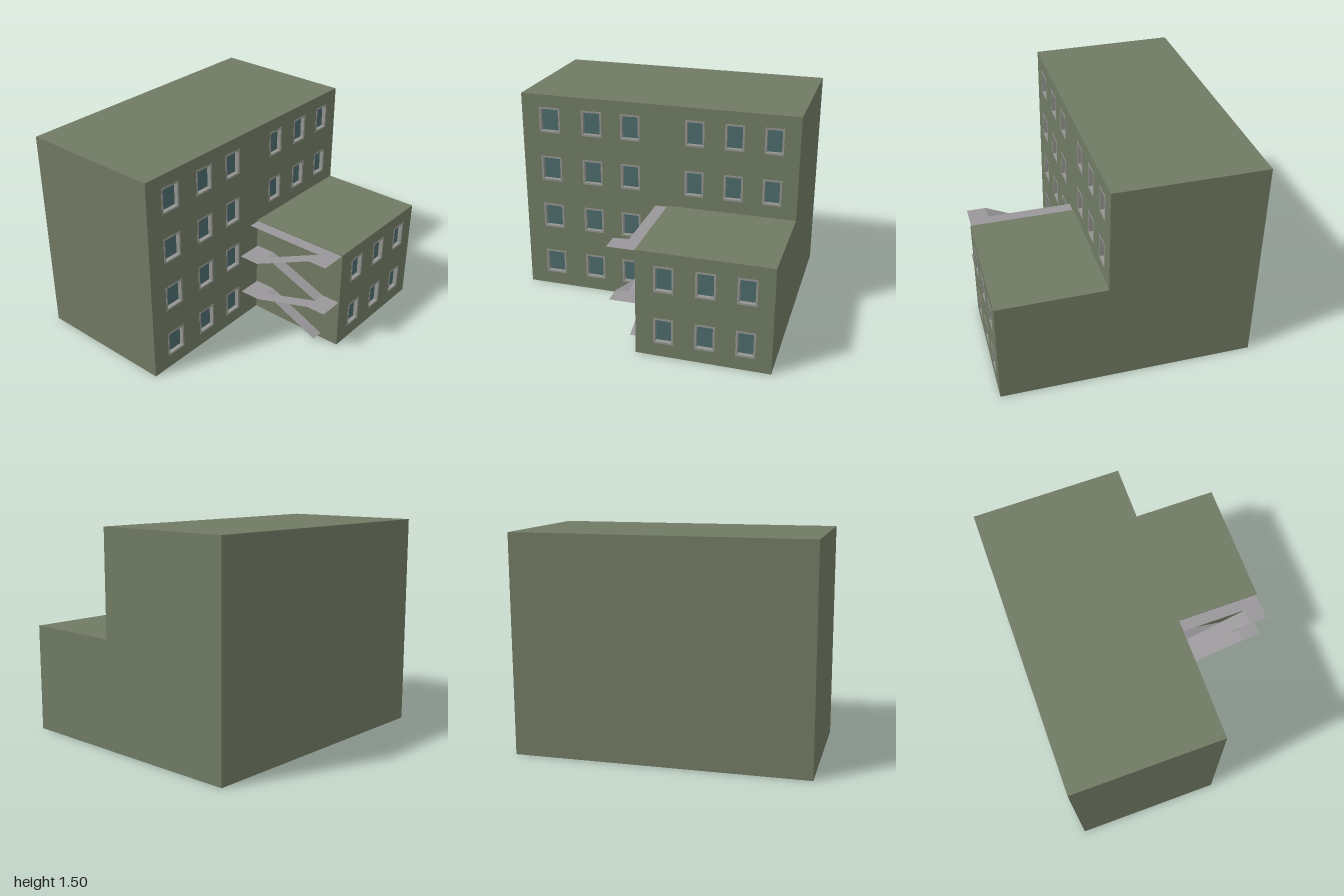
import * as THREE from 'three';

const material = (color) => new THREE.MeshStandardMaterial({ color, side: THREE.DoubleSide });
const wallMat = material(0x707a63);
const frameMat = material(0x93938f);
const glassMat = material(0x4c696b);
const stairMat = material(0x999699);

// Main block and wing extents
const H = 1.495, WING_H = 0.758, BACK = -0.885, MID = 0.143, FRONT = 0.885, WING_X = 0.087;

// Window grid: [centre, size]
const leftColumns = [[-0.79, 0.157], [-0.474, 0.15], [-0.188, 0.143]];
const rightColumns = [[0.278, 0.135], [0.556, 0.135], [0.826, 0.13]];
const rows = [0.19, 0.57, 0.943, 1.31];
const WIN_H = 0.188, BORDER = 0.013, DEPTH = 0.035;

function rectPath(PathType, x0, y0, x1, y1) {
  return new PathType([[x0, y0], [x1, y0], [x1, y1], [x0, y1]].map(([x, y]) => new THREE.Vector2(x, y)));
}

function polygon(points) {
  return new THREE.Shape(points.map(([x, y]) => new THREE.Vector2(x, y)));
}

function add(parent, name, geometry, mat) {
  const mesh = new THREE.Mesh(geometry, mat);
  mesh.name = name;
  parent.add(mesh);
  return mesh;
}

// Four-cornered flat sheet
function sheet(corners) {
  const g = new THREE.BufferGeometry();
  g.setAttribute('position', new THREE.Float32BufferAttribute(corners.flat(), 3));
  g.setIndex([0, 1, 2, 0, 2, 3]);
  g.computeVertexNormals();
  return g;
}

// Frame running inwards from the facade, with a recessed pane
function createWindow(x, y, z, w) {
  const group = new THREE.Group();
  group.name = 'window';
  const a = w / 2, b = WIN_H / 2;
  const ring = rectPath(THREE.Shape, -a, -b, a, b);
  ring.holes.push(rectPath(THREE.Path, -a + BORDER, -b + BORDER, a - BORDER, b - BORDER));
  const frame = new THREE.ExtrudeGeometry(ring, { depth: DEPTH, bevelEnabled: false });
  add(group, 'windowFrame', frame, frameMat).position.z = -DEPTH + 0.002;
  const pane = new THREE.PlaneGeometry(w - 2 * BORDER, WIN_H - 2 * BORDER);
  add(group, 'windowPane', pane, glassMat).position.z = -DEPTH + 0.007;
  group.position.set(x, y, z);
  return group;
}

// Wall with an opening and a window at every listed place
function createFacade(name, outline, z, windows) {
  const group = new THREE.Group();
  group.name = name;
  const shape = polygon(outline);
  for (const [x, y, w] of windows) {
    shape.holes.push(rectPath(THREE.Path, x - w / 2, y - WIN_H / 2, x + w / 2, y + WIN_H / 2));
    group.add(createWindow(x, y, z, w));
  }
  add(group, name + 'Wall', new THREE.ShapeGeometry(shape), wallMat).position.z = z;
  return group;
}

const grid = (columns, heights) => columns.flatMap(([x, w]) => heights.map((y) => [x, y, w]));

// Strip following a profile of [z, y] points between two x values
function strip(parent, name, x0, x1, profile) {
  for (let i = 0; i < profile.length - 1; i++) {
    const [z0, y0] = profile[i], [z1, y1] = profile[i + 1];
    add(parent, name, sheet([[x0, y0, z0], [x1, y0, z0], [x1, y1, z1], [x0, y1, z1]]), stairMat);
  }
}

function createStairs() {
  const stairs = new THREE.Group();
  stairs.name = 'outsideStairs';
  const back = 0.15, low = 0.30, high = 0.745, front = 0.88;
  const levels = [0.035, 0.23, 0.368, 0.543, 0.752];
  // Flights climbing to the back, beside the wing
  strip(stairs, 'innerFlight', 0, WING_X, [[high, levels[0]], [low, levels[1]]]);
  strip(stairs, 'innerFlight', 0, WING_X, [[high, levels[2]], [low, levels[3]]]);
  // Flights climbing to the front, on the outside
  strip(stairs, 'outerFlight', -0.095, 0, [[low, levels[1]], [high, levels[2]]]);
  strip(stairs, 'outerFlight', -0.108, 0, [[low, levels[3]], [high, levels[4]]]);
  // Landings at both ends
  strip(stairs, 'backLanding', -0.095, WING_X, [[low, levels[1]], [back, levels[1]]]);
  strip(stairs, 'backLanding', -0.108, WING_X, [[low, levels[3]], [back, levels[3]]]);
  strip(stairs, 'frontLanding', -0.095, WING_X, [[front, levels[2]], [high, levels[2]]]);
  strip(stairs, 'frontLanding', -0.108, WING_X, [[front, levels[4]], [high, levels[4]]]);
  // Level walkway along the wing roof
  strip(stairs, 'roofWalkway', 0, WING_X, [[high, levels[4]], [back, levels[4]]]);
  return stairs;
}

export function createModel() {
  const model = new THREE.Group();
  model.name = 'building';

  // Facades; the main one is notched where the wing opens into it
  model.add(createFacade('mainFacade',
    [[-1, 0], [WING_X, 0], [WING_X, WING_H], [1, WING_H], [1, H], [-1, H]], MID,
    [...grid(leftColumns, rows), ...grid(rightColumns, rows.slice(2))]));
  model.add(createFacade('wingFacade',
    [[WING_X, 0], [1, 0], [1, WING_H], [WING_X, WING_H]], FRONT,
    grid(rightColumns, rows.slice(0, 2))));

  // Stepped side wall, drawn in z and y then turned to face +x
  const side = polygon([[-FRONT, 0], [-BACK, 0], [-BACK, H], [-MID, H], [-MID, WING_H], [-FRONT, WING_H]]);
  const leftWall = add(model, 'leftSideWall', new THREE.ShapeGeometry(side), wallMat);
  leftWall.rotation.y = Math.PI / 2;
  leftWall.position.x = 1;

  // Plain walls and roofs
  add(model, 'rightSideWall', sheet([[-1, 0, BACK], [-1, 0, MID], [-1, H, MID], [-1, H, BACK]]), wallMat);
  add(model, 'backWall', sheet([[1, 0, BACK], [-1, 0, BACK], [-1, H, BACK], [1, H, BACK]]), wallMat);
  add(model, 'wingSideWall', sheet([[WING_X, 0, MID], [WING_X, 0, FRONT], [WING_X, WING_H, FRONT], [WING_X, WING_H, MID]]), wallMat);
  add(model, 'mainRoof', sheet([[-1, H, MID], [1, H, MID], [1, H, BACK], [-1, H, BACK]]), wallMat);
  add(model, 'wingRoof', sheet([[WING_X, WING_H, FRONT], [1, WING_H, FRONT], [1, WING_H, MID], [WING_X, WING_H, MID]]), wallMat);

  model.add(createStairs());
  return model;
}
